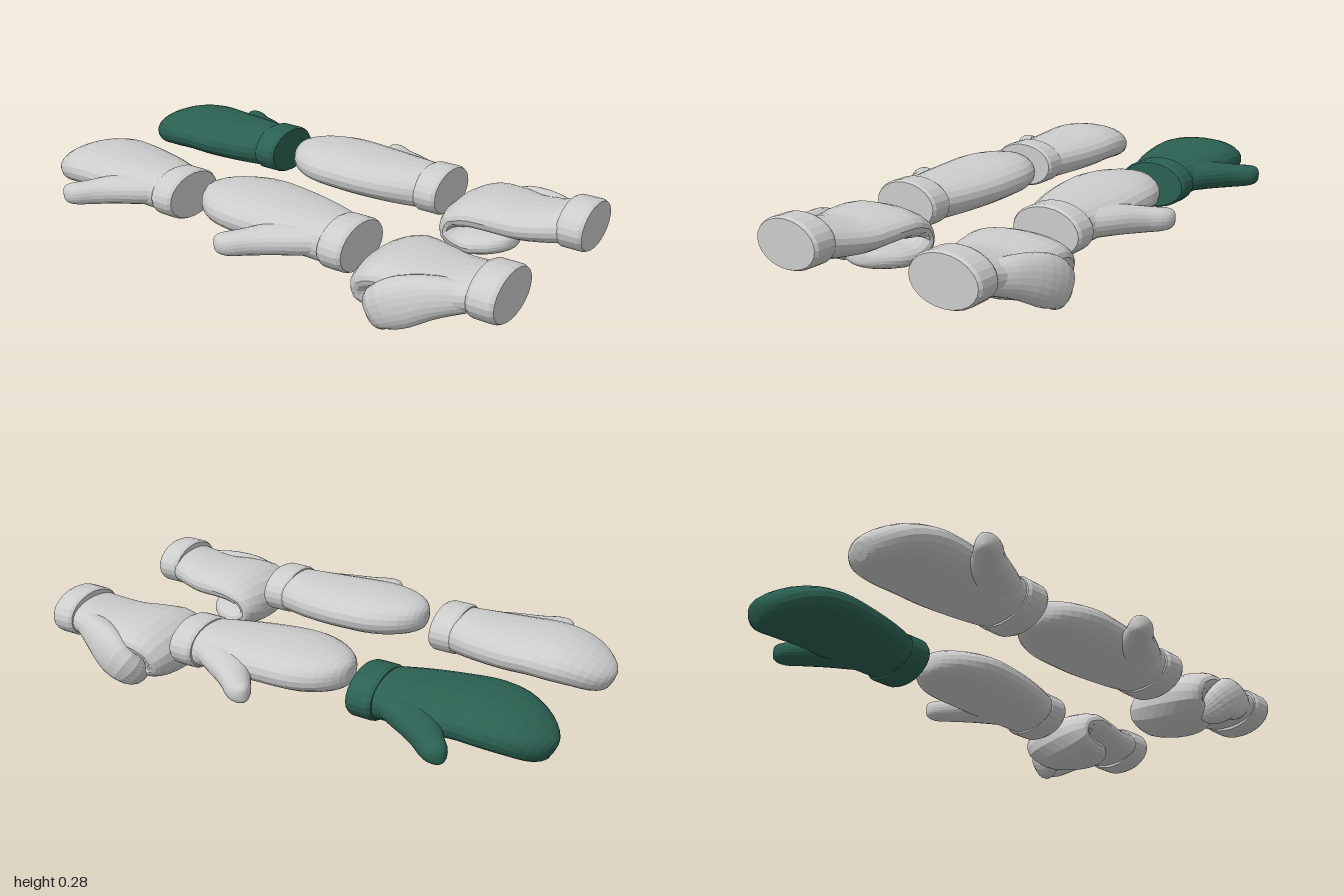
import * as THREE from 'three';

const SIDES = 24;
const Z = new THREE.Vector3(0, 0, 1);

// Flat normals for a faceted look
function faceted(geometry) {
  const g = geometry.toNonIndexed();
  g.computeVertexNormals();
  return g;
}

// Round-ended loft through sections [x, y, z, half width, half thickness].
// ref is the rough width direction, domeStart is where the tip begins to round off.
function loft({ sections, ref, domeStart, rings }, dx, side) {
  const path = new THREE.CatmullRomCurve3(sections.map(s => new THREE.Vector3(s[0] + dx, s[1], s[2])));
  const size = new THREE.CatmullRomCurve3(
    sections.map(s => new THREE.Vector3(s[3], s[4], 0)), false, 'catmullrom', 0.5);
  const half = Math.round(rings * 0.55);
  const pos = [], index = [];
  for (let i = 0; i <= rings; i++) {
    const k = Math.max(0, (i - half) / (rings - half));
    const tip = Math.sin(k * Math.PI / 2);
    const u = i <= half ? domeStart * i / half : domeStart + (1 - domeStart) * tip;
    const dome = i === rings ? 0 : Math.sqrt(Math.max(0, 1 - tip * tip));
    const p = path.getPoint(u), s = size.getPoint(u), t = path.getTangent(u);
    const w = ref.clone().addScaledVector(t, -ref.dot(t)).normalize();
    const n = new THREE.Vector3().crossVectors(t, w);
    for (let j = 0; j < SIDES; j++) {
      const a = j / SIDES * Math.PI * 2, c = Math.cos(a), q = Math.sin(a);
      const v = p.clone()
        .addScaledVector(w, Math.sign(c) * Math.abs(c) ** 0.92 * s.x * dome)
        .addScaledVector(n, Math.sign(q) * Math.abs(q) ** 0.92 * s.y * Math.sqrt(dome));
      pos.push(v.x, v.y, v.z * side);
      if (i === rings) continue;
      const A = i * SIDES + j, B = i * SIDES + (j + 1) % SIDES, C = B + SIDES, D = A + SIDES;
      if (side > 0) index.push(A, B, C, A, C, D);
      else index.push(A, C, B, A, D, C);
    }
  }
  const g = new THREE.BufferGeometry();
  g.setAttribute('position', new THREE.Float32BufferAttribute(pos, 3));
  g.setIndex(index);
  return faceted(g);
}

// Oval cuff with softened rims
function cuffGeometry(x0, z) {
  const h = 0.048;
  const profile = [[0, -h], [0.94, -h], [1, 0.012 - h], [1, h - 0.012], [0.94, h], [0, h]]
    .map(p => new THREE.Vector2(p[0], p[1]));
  const g = new THREE.LatheGeometry(profile, SIDES);
  g.scale(0.09, 1, 0.136);
  g.rotateZ(-Math.PI / 2);
  g.translate(x0 + h, 0.18, z);
  return faceted(g);
}

// Open hand: widens from the wrist, then the fingers droop by the bend amount
function openHand(bend) {
  const sections = [0, 1, 2, 3, 4, 5].map(k => {
    const wrist = Math.max(0, 1 - k / 3) ** 2, finger = Math.max(0, k - 3);
    return [-0.39 - 0.121 * k, 0.18 + 0.006 * Math.min(k, 3) - bend * finger ** 2,
      0.272 + 0.026 * wrist + 0.006 * finger, 0.178 - 0.056 * wrist, 0.078];
  });
  return { sections, ref: Z, domeStart: 0.6, rings: 22 };
}

// Closed hand: the path runs over the knuckles and rolls back under the palm
function closedHand() {
  const path = [[0.92, 0.178], [0.84, 0.165], [0.76, 0.158], [0.67, 0.165], [0.58, 0.164],
    [0.52, 0.13], [0.515, 0.085], [0.565, 0.058], [0.64, 0.058], [0.73, 0.068]];
  const sections = path.map(([x, y], k) => [x, y, 0.313 - 0.0055 * k,
    k < 4 ? 0.183 - 0.058 * (1 - k / 4) ** 1.3 : 0.183 - 0.0086 * (k - 4), 0.068 - 0.0024 * k]);
  return { sections, ref: Z, domeStart: 0.82, rings: 34 };
}

// Thumb standing out from the side of an open hand
const openThumb = {
  sections: [
    [-0.47, 0.185, 0.33, 0.1, 0.06], [-0.56, 0.18, 0.4, 0.085, 0.055],
    [-0.64, 0.172, 0.475, 0.057, 0.047], [-0.69, 0.168, 0.525, 0.047, 0.042],
    [-0.74, 0.167, 0.557, 0.044, 0.042]],
  ref: Z, domeStart: 0.72, rings: 18,
};

// Thumb wrapped down the side and under the closed fingers
const closedThumb = {
  sections: [
    [0.88, 0.165, 0.385, 0.05, 0.045], [0.78, 0.15, 0.425, 0.07, 0.055],
    [0.69, 0.12, 0.462, 0.085, 0.052], [0.625, 0.085, 0.472, 0.075, 0.048],
    [0.6, 0.05, 0.44, 0.06, 0.042], [0.6, 0.04, 0.385, 0.05, 0.034]],
  ref: new THREE.Vector3(-0.5, 0.8, 0), domeStart: 0.75, rings: 18,
};

export function createModel() {
  const wool = new THREE.MeshStandardMaterial({ color: 0xcccccc });
  wool.name = 'light grey';
  const green = new THREE.MeshStandardMaterial({ color: 0x2b6152 });
  green.name = 'dark green';

  const poses = [
    { name: 'relaxed', dx: 0, cuffX: -0.41, cuffZ: 0.3, hand: openHand(0.0175), thumb: openThumb },
    { name: 'straight', dx: 0.745, cuffX: 0.34, cuffZ: 0.3, hand: openHand(0), thumb: openThumb },
    { name: 'fist', dx: 0, cuffX: 0.904, cuffZ: 0.317, hand: closedHand(), thumb: closedThumb },
  ];

  const model = new THREE.Group();
  model.name = 'mittens';
  for (const { name, dx, cuffX, cuffZ, hand, thumb } of poses) {
    // Front row, then its mirrored pair at the back
    for (const side of [1, -1]) {
      const material = name === 'relaxed' && side < 0 ? green : wool;
      const mitten = new THREE.Group();
      mitten.name = name + (side > 0 ? 'FrontMitten' : 'BackMitten');
      const add = (part, geometry) => {
        const mesh = new THREE.Mesh(geometry, material);
        mesh.name = part;
        mitten.add(mesh);
      };
      add('hand', loft(hand, dx, side));
      add('thumb', loft(thumb, dx, side));
      add('cuff', cuffGeometry(cuffX, cuffZ * side));
      model.add(mitten);
    }
  }
  return model;
}
